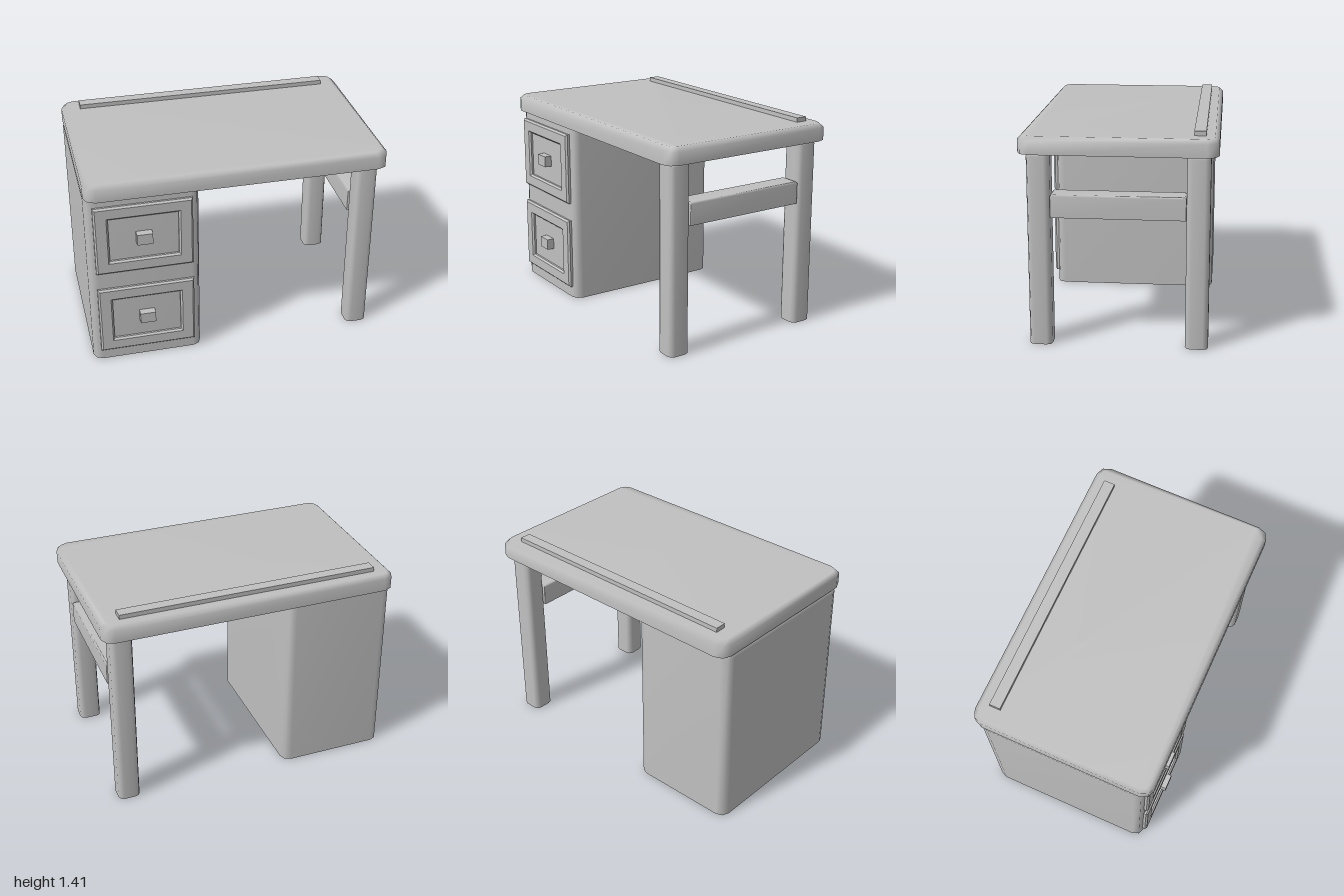
import * as THREE from 'three';

// Outline of a rectangle with rounded corners, in plan
function ring(hx, hz, r) {
  const pts = [];
  for (let c = 0; c < 4; c++) {
    const sx = c === 0 || c === 3 ? 1 : -1;
    const sz = c < 2 ? 1 : -1;
    for (let i = 0; i <= 2; i++) {
      const a = (c + i / 2) * Math.PI / 2;
      pts.push([sx * (hx - r) + r * Math.cos(a), sz * (hz - r) + r * Math.sin(a)]);
    }
  }
  return pts;
}

// Upright block: rounded corners, bevelled top edge, sharp flat bottom
function block(w, h, d, r, bevel) {
  const hx = w / 2, hz = d / 2;
  const low = ring(hx, hz, r);
  const top = ring(hx - bevel, hz - bevel, Math.max(r - bevel * 0.6, 0.004));
  const levels = [[low, 0], [low, 0], [low, h - bevel], [top, h]]; // first copy is the underside
  const pos = [], idx = [], n = low.length;
  for (const [pts, y] of levels) for (const [x, z] of pts) pos.push(x, y, z);
  for (let k = 1; k < 3; k++) {
    for (let i = 0; i < n; i++) {
      const j = (i + 1) % n;
      const a = k * n + i, b = k * n + j, c = a + n, e = b + n;
      idx.push(a, c, b, b, c, e);
    }
  }
  for (let i = 1; i < n - 1; i++) {
    idx.push(0, i, i + 1);
    idx.push(3 * n, 3 * n + i + 1, 3 * n + i);
  }
  const g = new THREE.BufferGeometry();
  g.setAttribute('position', new THREE.Float32BufferAttribute(pos, 3));
  g.setIndex(idx);
  g.computeVertexNormals();
  return g;
}

// Drawer front: a bevelled frame around a sunken panel
function drawerFrame(w, h, holeW, holeH) {
  const rect = (path, a, b) => path.moveTo(-a, -b).lineTo(a, -b).lineTo(a, b).lineTo(-a, b).closePath();
  const shape = rect(new THREE.Shape(), w / 2, h / 2);
  shape.holes.push(rect(new THREE.Path(), holeW / 2, holeH / 2));
  return new THREE.ExtrudeGeometry(shape, {
    depth: 0.02, bevelEnabled: true, bevelSegments: 1,
    bevelSize: 0.012, bevelThickness: 0.012, bevelOffset: -0.012,
  });
}

export function createModel() {
  const desk = new THREE.Group();
  desk.name = 'desk';
  const grey = new THREE.MeshStandardMaterial({ color: 0xc0c0c0 });
  grey.name = 'grey';

  const add = (name, geometry, x, y, z, parent = desk) => {
    const mesh = new THREE.Mesh(geometry, grey);
    mesh.name = name;
    mesh.position.set(x, y, z);
    parent.add(mesh);
    return mesh;
  };

  // Top and the pencil ledge along its back edge
  add('tabletop', block(2, 0.113, 1.248, 0.075, 0.028), 0, 1.265, 0);
  add('ledge', new THREE.BoxGeometry(1.748, 0.04, 0.075), -0.002, 1.387, -0.503);

  // Drawer cabinet
  add('cabinet', block(0.745, 1.265, 1.15, 0.06, 0.025), -0.6275, 0, 0);

  // Two drawers, each with a frame and a square knob
  for (const [name, y] of [['upperDrawer', 0.952], ['lowerDrawer', 0.328]]) {
    const drawer = new THREE.Group();
    drawer.name = name;
    drawer.position.set(-0.6275, y, 0);
    add('drawerFrame', drawerFrame(0.645, 0.498, 0.456, 0.316), 0, 0, 0.568, drawer);
    add('knob', new THREE.BoxGeometry(0.104, 0.076, 0.06), 0, 0.001, 0.596, drawer);
    desk.add(drawer);
  }

  // Legs on the open side, joined by a rail
  for (const side of [1, -1]) {
    add(side > 0 ? 'frontLeg' : 'backLeg', block(0.148, 1.265, 0.148, 0.035, 0.025), 0.872, 0, side * 0.501);
  }
  add('rail', block(0.146, 0.148, 0.854, 0.006, 0.01), 0.872, 0.852, 0);

  return desk;
}
